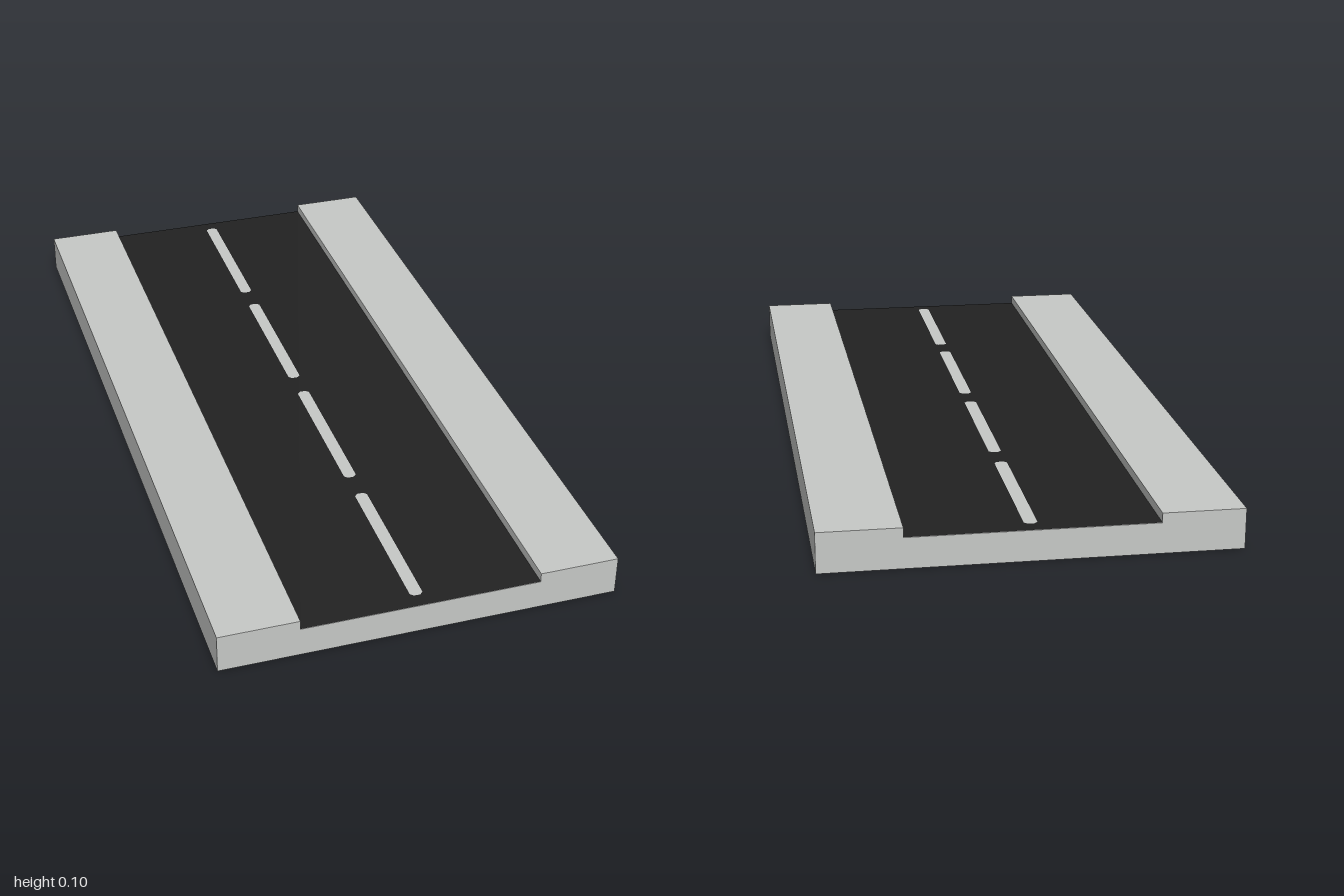
import * as THREE from 'three';

const LENGTH = 2;
const ROAD_Y = 0.076;

// Closed flat outline from a short list of points
function outline(points) {
  return new THREE.Shape(points.map(([x, y]) => new THREE.Vector2(x, y)));
}

export function createModel() {
  const concrete = new THREE.MeshStandardMaterial({ color: 0xc7c9c7 });
  concrete.name = 'concrete grey';
  const asphalt = new THREE.MeshStandardMaterial({ color: 0x222222 });
  asphalt.name = 'asphalt black';

  const group = new THREE.Group();
  group.name = 'roadSection';

  const add = (name, geometry, material) => {
    const mesh = new THREE.Mesh(geometry, material);
    mesh.name = name;
    group.add(mesh);
    return mesh;
  };

  // Slab with a raised pavement along each side
  const slab = new THREE.ExtrudeGeometry(outline([
    [-0.5, 0], [0.5, 0], [0.5, 0.1], [0.3, 0.1],
    [0.3, ROAD_Y], [-0.3, ROAD_Y], [-0.3, 0.1], [-0.5, 0.1],
  ]), { depth: LENGTH, bevelEnabled: false });
  slab.translate(0, 0, -LENGTH / 2);
  add('slabWithPavements', slab, concrete);

  // Road surface lying in the channel
  const surface = new THREE.PlaneGeometry(0.6, LENGTH).rotateX(-Math.PI / 2);
  add('roadSurface', surface, asphalt).position.y = ROAD_Y + 0.001;

  // Centre line dashes with clipped corners
  const w = 0.016, h = 0.213, c = 0.008;
  const dash = new THREE.ShapeGeometry(outline([
    [-w + c, -h], [w - c, -h], [w, -h + c], [w, h - c],
    [w - c, h], [-w + c, h], [-w, h - c], [-w, -h + c],
  ])).rotateX(-Math.PI / 2);
  for (let i = 0; i < 4; i++) {
    add(`centreDash${i + 1}`, dash, concrete).position.set(0, ROAD_Y + 0.002, -0.75 + i * 0.5);
  }

  return group;
}
